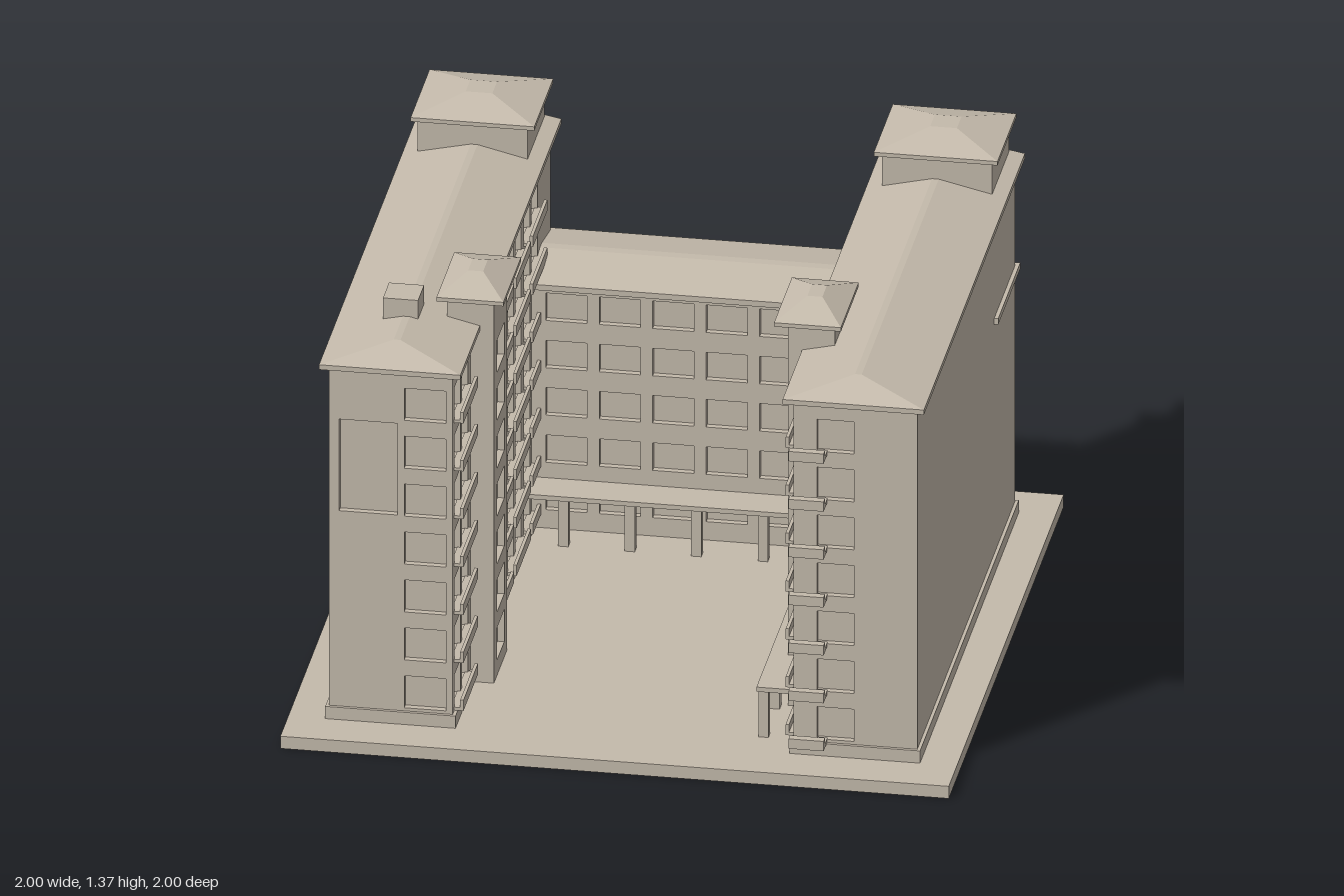
import * as THREE from 'three';

const stone = new THREE.MeshStandardMaterial({ color: 0xc4baab });
stone.name = 'warm stone';

const FLOORS = 7;
const floorY = (i) => 0.09 + i * 0.157; // sill height of each storey
const WIN_H = 0.105;

function add(parent, name, geometry) {
  const mesh = new THREE.Mesh(geometry, stone);
  mesh.name = name;
  parent.add(mesh);
  return mesh;
}

// Box from its limits; x limits may come in either order so parts can be mirrored
function box(parent, name, xa, xb, y0, y1, z0, z1) {
  const g = new THREE.BoxGeometry(Math.abs(xb - xa), y1 - y0, z1 - z0);
  g.translate((xa + xb) / 2, (y0 + y1) / 2, (z0 + z1) / 2);
  return add(parent, name, g);
}

// Hipped roof: a box whose top is drawn in to the rectangle "top"
function hipRoof(parent, name, [xa, xb, z0, z1], y0, y1, [ta, tb, tz0, tz1]) {
  const x0 = Math.min(xa, xb), x1 = Math.max(xa, xb);
  const t0 = Math.min(ta, tb), t1 = Math.max(ta, tb);
  const g = new THREE.BoxGeometry(1, 1, 1).toNonIndexed();
  const p = g.attributes.position;
  for (let i = 0; i < p.count; i++) {
    const up = p.getY(i) > 0, right = p.getX(i) > 0, front = p.getZ(i) > 0;
    p.setXYZ(i,
      up ? (right ? t1 : t0) : (right ? x1 : x0),
      up ? y1 : y0,
      up ? (front ? tz1 : tz0) : (front ? z1 : z0));
  }
  g.computeVertexNormals();
  return add(parent, name, g);
}

function rectPath(P, [u0, u1, v0, v1]) {
  const s = new P();
  s.moveTo(u0, v0);
  s.lineTo(u1, v0);
  s.lineTo(u1, v1);
  s.lineTo(u0, v1);
  s.closePath();
  return s;
}

// Wall with rectangular openings. axis 'x': runs along x, ends at z = at.
// axis 'z': runs along z, ends at x = at (thickness goes towards -x).
function wall(parent, name, axis, at, t, outline, holes) {
  const shape = rectPath(THREE.Shape, outline);
  holes.forEach((h) => shape.holes.push(rectPath(THREE.Path, h)));
  const g = new THREE.ExtrudeGeometry(shape, { depth: t, bevelEnabled: false });
  const m = add(parent, name, g);
  if (axis === 'x') m.position.z = at - t;
  else {
    m.rotation.y = -Math.PI / 2;
    m.position.x = at;
  }
  return m;
}

// One opening per storey for each [from, to] span
function windowHoles(spans, keep = () => true) {
  const holes = [];
  for (const [a, b] of spans)
    for (let i = 0; i < FLOORS; i++) {
      const h = [a, b, floorY(i), floorY(i) + WIN_H];
      if (keep(h)) holes.push(h);
    }
  return holes;
}

function makeWing(s) {
  const wing = new THREE.Group();
  wing.name = s > 0 ? 'leftWing' : 'rightWing';
  const loggia = [0.57, 0.79, 0.72, 1.02];
  const alcove = [-0.18, 0.06, 0.41, 0.71];

  box(wing, 'plinth', s * 0.5, s * 0.89, 0.04, 0.08, -0.86, 0.86);

  // Core and outer side
  if (s > 0) {
    box(wing, 'core', 0.53, 0.88, 0.04, 1.2, -0.85, 0.83);
  } else {
    box(wing, 'core', -0.67, -0.53, 0.04, 1.2, -0.85, 0.83);
    wall(wing, 'hollowCore', 'z', -0.67, 0.19, [-0.85, 0.83, 0.04, 1.2],
      [[0.57, 0.825, 0.72, 1.02], alcove]);
    const spans = [];
    for (let i = 0; i < 25; i++) spans.push([-0.81 + i * 0.0655, -0.77 + i * 0.0655]);
    const clear = (h) => ![loggia, alcove].some((o) =>
      h[0] < o[1] + 0.01 && h[1] > o[0] - 0.01 && h[2] < o[3] + 0.01 && h[3] > o[2] - 0.01);
    wall(wing, 'outerWall', 'z', -0.86, 0.02, [-0.85, 0.85, 0.04, 1.2],
      [...windowHoles(spans, clear), loggia, alcove]);
  }

  // Front wall
  if (s > 0) {
    wall(wing, 'frontWall', 'x', 0.85, 0.02, [0.51, 0.88, 0.04, 1.2], windowHoles([[0.58, 0.69]]));
    for (let i = 0; i < FLOORS; i++) {
      const y = floorY(i) - 0.01;
      box(wing, 'frontBalconySlab', 0.505, 0.61, y, y + 0.012, 0.84, 0.9);
      box(wing, 'frontBalconyParapet', 0.505, 0.61, y, y + 0.032, 0.885, 0.91);
    }
  } else {
    wall(wing, 'frontWall', 'x', 0.85, 0.02, [-0.86, -0.51, 0.04, 1.2],
      [...windowHoles([[-0.655, -0.53]]), [-0.85, -0.675, 0.72, 1.02]]);
  }

  // Courtyard wall with paired windows and a balcony for each bay
  const bays = [-0.51, -0.225, 0.07, 0.7];
  const spans = bays.flatMap((c) => [[c - 0.115, c - 0.015], [c + 0.015, c + 0.115]]);
  wall(wing, 'courtyardWall', 'z', s > 0 ? 0.53 : -0.51, 0.02, [-0.85, 0.83, 0.04, 1.2],
    windowHoles(spans));
  for (const c of bays)
    for (let i = 0; i < FLOORS; i++) {
      const y = floorY(i) - 0.008;
      box(wing, 'balconySlab', s * 0.485, s * 0.52, y, y + 0.01, c - 0.125, c + 0.125);
      box(wing, 'balconyParapet', s * 0.482, s * 0.492, y, y + 0.035, c - 0.125, c + 0.125);
    }

  // Main roof and the belt round the rear corner
  box(wing, 'eaves', s * 0.482, s * 0.905, 1.192, 1.208, -0.88, 0.88);
  hipRoof(wing, 'roof', [s * 0.482, s * 0.905, -0.88, 0.88], 1.208, 1.255,
    [s * 0.68, s * 0.7, -0.86, 0.77]);
  box(wing, 'belt', s * 0.87, s * 0.892, 0.832, 0.852, -0.87, -0.49);
  box(wing, 'rearBelt', s * 0.49, s * 0.892, 0.832, 0.852, -0.873, -0.84);

  // Corner lantern with four small openings at the rear
  box(wing, 'lantern', s * 0.53, s * 0.86, 1.2, 1.322, -0.84, -0.57);
  const slots = [0, 1, 2, 3].map((i) => {
    const c = s * (0.59 + i * 0.07);
    return [c - 0.016, c + 0.016, 1.24, 1.295];
  });
  wall(wing, 'lanternRearWall', 'x', -0.84, 0.02,
    [Math.min(s * 0.53, s * 0.86), Math.max(s * 0.53, s * 0.86), 1.2, 1.322], slots);
  box(wing, 'lanternEaves', s * 0.508, s * 0.878, 1.32, 1.333, -0.888, -0.558);
  hipRoof(wing, 'lanternRoof', [s * 0.508, s * 0.878, -0.888, -0.558], 1.333, 1.37,
    [s * 0.655, s * 0.735, -0.765, -0.685]);

  // Stair tower
  box(wing, 'stairTower', s * 0.46, s * 0.58, 0.04, 1.3, 0.31, 0.54);
  wall(wing, 'stairTowerWall', 'z', s > 0 ? 0.46 : -0.44, 0.02, [0.31, 0.54, 0.04, 1.3],
    windowHoles([[0.36, 0.49]]));
  box(wing, 'stairTowerEaves', s * 0.405, s * 0.605, 1.297, 1.31, 0.27, 0.58);
  hipRoof(wing, 'stairTowerRoof', [s * 0.405, s * 0.605, 0.27, 0.58], 1.31, 1.35,
    [s * 0.485, s * 0.53, 0.385, 0.465]);
  return wing;
}

function makeRearBlock() {
  const block = new THREE.Group();
  block.name = 'rearBlock';
  box(block, 'core', -0.53, 0.53, 0.04, 0.835, -0.85, -0.54);
  box(block, 'plinth', -0.51, 0.51, 0.04, 0.08, -0.86, -0.84);
  const holes = [];
  for (let c = 0; c < 6; c++)
    for (let r = 0; r < 5; r++) {
      const x = -0.405 + c * 0.16, y = 0.1 + r * 0.155;
      holes.push([x - 0.062, x + 0.062, y, y + 0.09]);
    }
  wall(block, 'courtyardWall', 'x', -0.52, 0.02, [-0.51, 0.51, 0.04, 0.835], holes);
  box(block, 'eaves', -0.5, 0.5, 0.832, 0.85, -0.878, -0.49);
  hipRoof(block, 'roof', [-0.52, 0.52, -0.878, -0.49], 0.85, 0.885, [-0.52, 0.52, -0.7, -0.67]);
  return block;
}

// Covered walk along two sides of the courtyard
function makeArcade() {
  const arcade = new THREE.Group();
  arcade.name = 'arcade';
  box(arcade, 'rearCanopy', -0.51, 0.51, 0.19, 0.205, -0.53, -0.4);
  box(arcade, 'sideCanopy', 0.385, 0.515, 0.19, 0.205, -0.4, 0.77);
  for (let i = 0; i < 5; i++) {
    const x = -0.395 + i * 0.199;
    box(arcade, 'rearColumn', x - 0.015, x + 0.015, 0.04, 0.19, -0.435, -0.405);
  }
  for (let i = 0; i < 6; i++) {
    const z = -0.22 + i * 0.194;
    box(arcade, 'sideColumn', 0.39, 0.42, 0.04, 0.19, z - 0.015, z + 0.015);
  }
  return arcade;
}

export function createModel() {
  const model = new THREE.Group();
  model.name = 'courtyardBuilding';
  box(model, 'groundSlab', -1, 1, 0, 0.04, -1, 1);
  model.add(makeWing(1), makeWing(-1), makeRearBlock(), makeArcade());
  box(model, 'chimney', -0.76, -0.655, 1.2, 1.31, 0.505, 0.61);
  return model;
}
